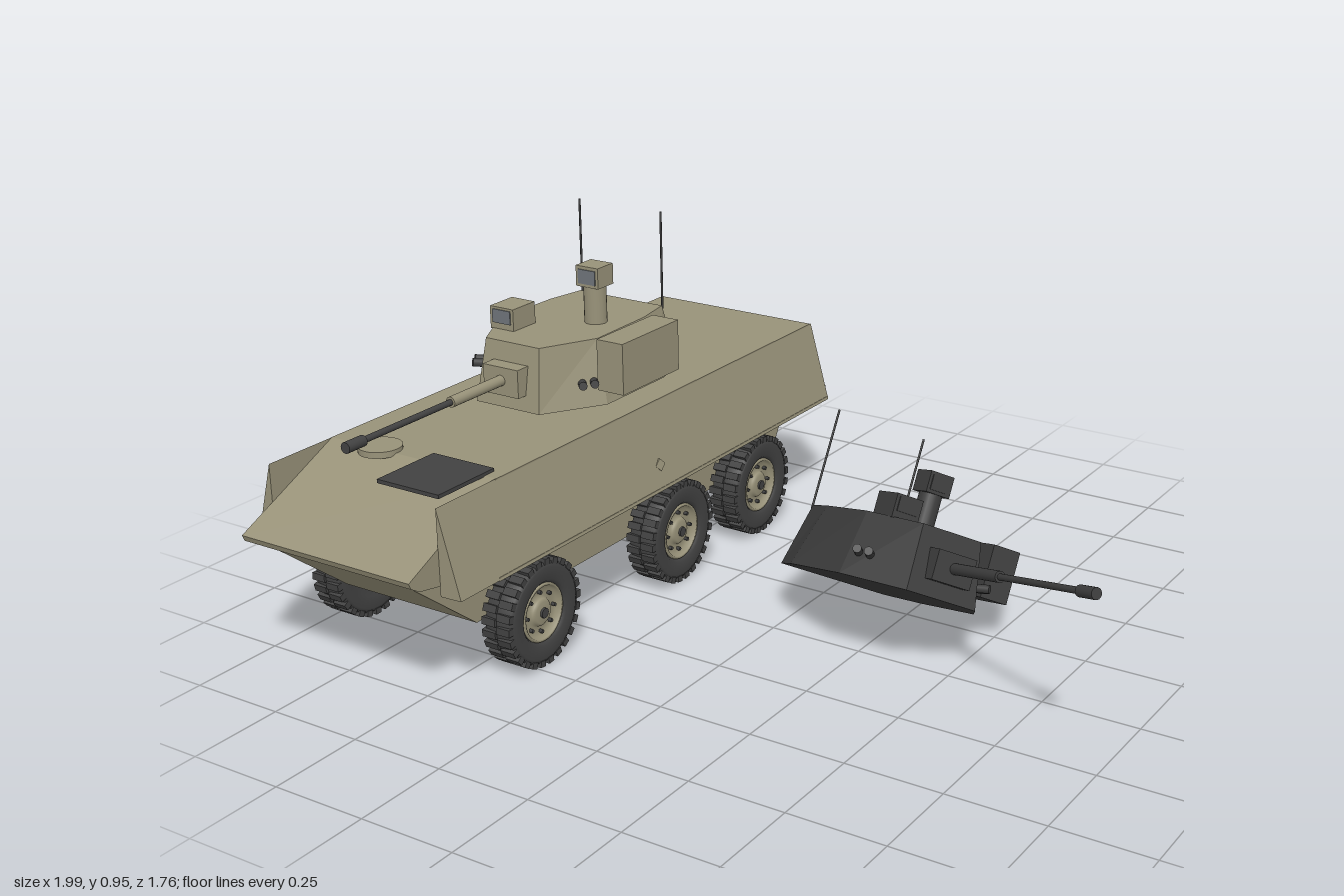
import * as THREE from 'three';
import { mergeGeometries } from 'three/addons/utils/BufferGeometryUtils.js';

const mat = (name, color, extra = {}) => {
  const m = new THREE.MeshStandardMaterial({ color, ...extra });
  m.name = name;
  return m;
};

function add(parent, name, geometry, material, x = 0, y = 0, z = 0) {
  const mesh = new THREE.Mesh(geometry, material);
  mesh.name = name;
  mesh.position.set(x, y, z);
  parent.add(mesh);
  return mesh;
}

function group(parent, name) {
  const g = new THREE.Group();
  g.name = name;
  parent.add(g);
  return g;
}

const box = (w, h, d) => new THREE.BoxGeometry(w, h, d);
// Cylinder lying along z
const rodZ = (r, len, seg = 16) => new THREE.CylinderGeometry(r, r, len, seg).rotateX(Math.PI / 2);
const shapeOf = (pts) => new THREE.Shape(pts.map(([x, y]) => new THREE.Vector2(x, y)));
const extrude = (pts, depth) => new THREE.ExtrudeGeometry(shapeOf(pts), { depth, bevelEnabled: false });

// Side profile (z, y) extruded across the width
const sideProfile = (pts, width) => extrude(pts, width).translate(0, 0, -width / 2).rotateY(-Math.PI / 2);

// Faceted solid between a lower and an upper outline (x, z) at two heights
function frustum(low, high, y0, y1) {
  const pos = [];
  const n = low.length;
  const L = low.map(([x, z]) => [x, y0, z]);
  const H = high.map(([x, z]) => [x, y1, z]);
  const tri = (a, b, c) => pos.push(...a, ...b, ...c);
  for (let i = 0; i < n; i++) {
    const j = (i + 1) % n;
    tri(L[i], L[j], H[j]);
    tri(L[i], H[j], H[i]);
    if (i > 0 && i < n - 1) {
      tri(H[0], H[i], H[j]);
      tri(L[0], L[j], L[i]);
    }
  }
  const g = new THREE.BufferGeometry();
  g.setAttribute('position', new THREE.Float32BufferAttribute(pos, 3));
  g.computeVertexNormals();
  return g;
}

// Mirrors the +x half of an outline (front to back)
const symmetric = (half) => [...half, ...half.map(([x, z]) => [-x, z]).reverse()];

function makeTurret(parent, name, paint, metal, glass) {
  const t = group(parent, name);
  add(t, 'turretShell', frustum(
    symmetric([[0.1, 0.195], [0.2, 0.04], [0.2, -0.21], [0.16, -0.335]]),
    symmetric([[0.085, 0.165], [0.16, 0.02], [0.155, -0.19], [0.135, -0.3]]),
    0.525, 0.69), paint);

  // Gun
  add(t, 'mantlet', box(0.11, 0.075, 0.06), paint, 0, 0.603, 0.187);
  add(t, 'barrelSleeve', rodZ(0.014, 0.2), paint, 0, 0.605, 0.31);
  add(t, 'barrel', rodZ(0.008, 0.33), metal, 0, 0.605, 0.565);
  add(t, 'muzzleBrake', rodZ(0.014, 0.06), metal, 0, 0.605, 0.75);

  // Launcher box on the left side
  add(t, 'launcherBox', box(0.08, 0.135, 0.245), paint, 0.23, 0.637, -0.058);
  add(t, 'launcherBracket', box(0.05, 0.05, 0.1), paint, 0.175, 0.62, -0.058);

  // Sights
  add(t, 'sightPost', new THREE.CylinderGeometry(0.03, 0.03, 0.11, 20), paint, 0.07, 0.74, -0.094);
  add(t, 'sightHead', box(0.07, 0.055, 0.066), paint, 0.07, 0.817, -0.094);
  add(t, 'sightGlass', box(0.054, 0.038, 0.004), glass, 0.07, 0.817, -0.06);
  add(t, 'gunnerSight', box(0.075, 0.06, 0.09), paint, -0.093, 0.718, 0.045);
  add(t, 'gunnerGlass', box(0.058, 0.036, 0.004), glass, -0.093, 0.724, 0.091);

  for (const s of [-1, 1]) {
    add(t, 'antenna', new THREE.CylinderGeometry(0.003, 0.003, 0.265, 8), metal, s * 0.133, 0.8125, -0.305);
    // Smoke launchers
    for (let i = 0; i < 2; i++) {
      const tube = add(t, 'smokeLauncher', rodZ(0.011, 0.045, 12), metal,
        s * (0.165 + i * 0.016), 0.588, 0.095 - i * 0.028);
      tube.rotation.set(-0.2, s * 0.7, 0);
    }
  }
  return t;
}

// Wheel geometries, outer face towards +x
function wheelParts() {
  const lathe = (pts) => new THREE.LatheGeometry(pts.map(([r, a]) => new THREE.Vector2(r, a)), 40).rotateZ(-Math.PI / 2);
  const tyre = lathe([[0, -0.03], [0.075, -0.034], [0.085, -0.042], [0.118, -0.043], [0.13, -0.037],
    [0.134, 0], [0.13, 0.037], [0.118, 0.043], [0.085, 0.042], [0.075, 0.032], [0.074, 0]]);
  const rim = lathe([[0.077, 0.03], [0.075, 0.037], [0.069, 0.037], [0.064, 0.024], [0.04, 0.02],
    [0.035, 0.03], [0.028, 0.036], [0.0001, 0.036]]);
  const blocks = [];
  const bolts = [];
  const count = 26;
  for (let i = 0; i < count; i++) {
    for (const s of [-1, 1]) {
      const a = ((i + (s > 0 ? 0.5 : 0)) / count) * Math.PI * 2;
      blocks.push(box(0.04, 0.016, 0.019).translate(s * 0.022, 0.132, 0).rotateX(a));
    }
  }
  for (let i = 0; i < 8; i++) {
    bolts.push(new THREE.CylinderGeometry(0.005, 0.005, 0.012, 6).rotateZ(Math.PI / 2)
      .translate(0.026, 0.052, 0).rotateX((i / 8) * Math.PI * 2));
  }
  const cap = new THREE.CylinderGeometry(0.013, 0.013, 0.008, 12).rotateZ(Math.PI / 2).translate(0.038, 0, 0);
  return { tyre, rim, tread: mergeGeometries(blocks), bolts: mergeGeometries([...bolts, cap]) };
}

export function createModel() {
  const paint = mat('olive paint', 0x989279);
  const dark = mat('dark rubber and metal', 0x424242);
  const burnt = mat('burnt metal', 0x3c3c3c);
  const glass = mat('sight glass', 0x70757a);

  const model = new THREE.Group();
  model.name = 'armouredVehicleAndWreckedTurret';
  const vehicle = group(model, 'vehicle');
  vehicle.position.x = -0.675;

  // Hull
  add(vehicle, 'upperHull', sideProfile([[0.56, 0.51], [0.88, 0.363], [0.873, 0.347], [0.845, 0.33],
    [0.63, 0.29], [-0.87, 0.29], [-0.86, 0.51]], 0.52), paint);
  add(vehicle, 'lowerHull', sideProfile([[0.845, 0.335], [0.6, 0.14], [-0.73, 0.14], [-0.82, 0.3], [0.6, 0.3]], 0.42), paint);
  for (const s of [-1, 1]) {
    add(vehicle, 'sidePlate', extrude([[s * 0.259, 0.51], [s * 0.32, 0.292], [s * 0.259, 0.29]], 1.64), paint, 0, 0, -0.865);
    add(vehicle, 'sideSill', box(0.012, 0.01, 1.5), paint, s * 0.313, 0.294, -0.115);
    add(vehicle, 'rearLamp', box(0.035, 0.022, 0.012), dark, s * 0.285, 0.315, -0.872);
    const port = add(vehicle, 'sidePort', box(0.006, 0.024, 0.024), paint, s * 0.303, 0.355, -0.04);
    port.rotation.set(Math.PI / 4, 0, s * 0.27);
  }
  add(vehicle, 'rearSill', box(0.52, 0.01, 0.014), paint, 0, 0.298, -0.873);

  // Deck fittings
  add(vehicle, 'driverHatch', new THREE.CylinderGeometry(0.055, 0.055, 0.016, 32), paint, -0.105, 0.512, 0.555);
  add(vehicle, 'engineGrille', box(0.187, 0.01, 0.2), dark, 0.132, 0.513, 0.625);
  add(vehicle, 'turretRing', new THREE.CylinderGeometry(0.16, 0.16, 0.02, 40), paint, 0, 0.517, -0.06);
  makeTurret(vehicle, 'turret', paint, dark, glass);

  // Wheels and axles
  const parts = wheelParts();
  for (const z of [0.47, -0.12, -0.51]) {
    add(vehicle, 'axle', new THREE.CylinderGeometry(0.013, 0.013, 0.52, 12).rotateZ(Math.PI / 2), dark, 0, 0.137, z);
    for (const s of [-1, 1]) {
      const w = group(vehicle, 'wheel');
      w.position.set(s * 0.275, 0.14, z);
      if (s < 0) w.rotation.y = Math.PI;
      add(w, 'tyre', parts.tyre, dark);
      add(w, 'tread', parts.tread, dark);
      add(w, 'rim', parts.rim, paint);
      add(w, 'wheelBolts', parts.bolts, dark);
    }
  }

  // Burnt turret lying tilted beside the vehicle
  const wreck = makeTurret(model, 'wreckedTurret', burnt, burnt, burnt);
  const up = new THREE.Vector3(0, 0.86, -0.51).normalize();
  const forward = new THREE.Vector3(0.835, 0.2815, 0.472).normalize();
  const left = new THREE.Vector3().crossVectors(up, forward).normalize();
  forward.crossVectors(left, up);
  wreck.applyMatrix4(new THREE.Matrix4().makeBasis(left, up, forward).setPosition(0.336, -0.287, 0.223));

  return model;
}
